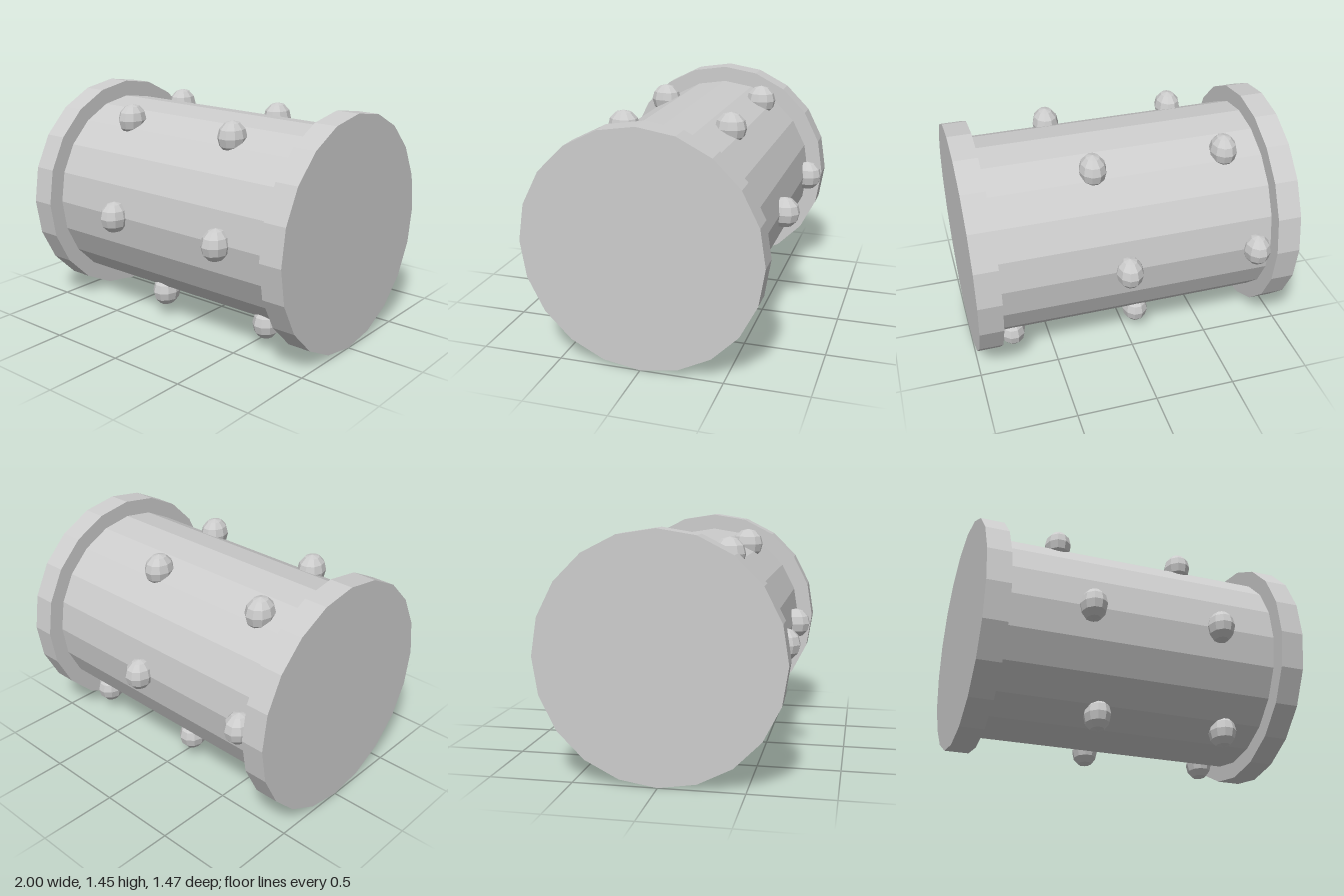
import * as THREE from 'three';

const AXIS_Y = 0.725;   // height of the drum axis
const SIDES = 20;

export function createModel() {
  const group = new THREE.Group();
  const grey = new THREE.MeshStandardMaterial({ color: 0xcccccc, flatShading: true });
  grey.name = 'light grey';

  // Cylinder lying along x
  const roller = (name, radius, length, x) => {
    const geometry = new THREE.CylinderGeometry(radius, radius, length, SIDES);
    geometry.rotateZ(Math.PI / 2);
    const mesh = new THREE.Mesh(geometry, grey);
    mesh.name = name;
    mesh.position.set(x, AXIS_Y, 0);
    group.add(mesh);
  };

  // Drum body and the two end flanges
  roller('drum', 0.623, 1.72, 0);
  roller('leftFlange', 0.725, 0.147, 0.9265);
  roller('rightFlange', 0.725, 0.147, -0.9265);

  // Studs winding twice around the drum, starting at the back
  const studGeometry = new THREE.SphereGeometry(0.1, 10, 6);
  studGeometry.scale(0.83, 1, 1);
  for (let i = 0; i < 12; i++) {
    const angle = i * Math.PI / 3;
    const stud = new THREE.Mesh(studGeometry, grey);
    stud.name = `stud${i + 1}`;
    stud.position.set(-0.7535 + i * 0.137, AXIS_Y + 0.638 * Math.sin(angle), -0.638 * Math.cos(angle));
    group.add(stud);
  }
  return group;
}
